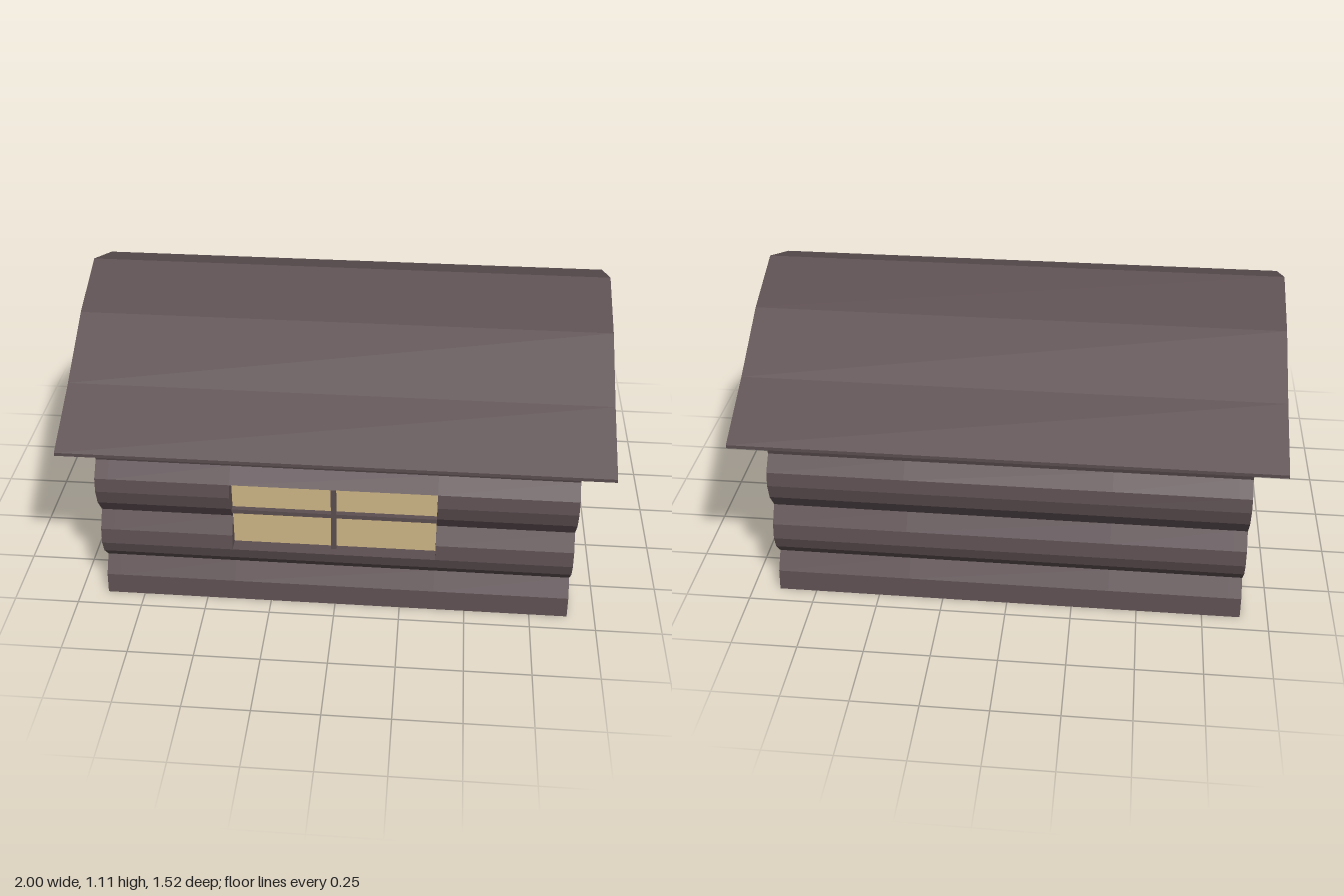
import * as THREE from 'three';

const timber = new THREE.MeshStandardMaterial({ color: 0x5d4f52 });
const cutWood = new THREE.MeshStandardMaterial({ color: 0x866a50 });
const paleGlow = new THREE.MeshStandardMaterial({ color: 0xd4bb89 });
timber.name = 'darkTimber';
cutWood.name = 'cutWood';
paleGlow.name = 'paleGlow';

const WALL_X = 0.895;   // half length of the walls
const DOOR_X = -0.845;  // plane at the back of the door recess
const WIN = { x0: -0.39, x1: 0.38, y0: 0.25, y1: 0.55, z: 0.622 };

// Outline of the stacked logs, bottom to eave, as [z, y]
const LOGS = [
  [0.682, 0], [0.67, 0.08], [0.625, 0.147],
  [0.668, 0.2], [0.682, 0.25], [0.672, 0.31], [0.63, 0.374],
  [0.67, 0.437], [0.682, 0.497], [0.672, 0.55], [0.625, 0.605], [0.655, 0.714],
];
// Half profiles of the roof, eave to ridge
const JOINT = [[0.655, 0.714], [0.506, 0.787], [0.11, 0.98], [0, 1.008]];
const UNDER = [[0.76, 0.714], [0.506, 0.825], [0.25, 0.975], [0, 1.057]];
const TOP = [[0.76, 0.727], [0.506, 0.861], [0.25, 1.016], [0, 1.114]];

const flip = (pts) => pts.map(([z, y]) => [-z, y]).reverse();
const whole = (half) => [...half, ...flip(half).slice(1)];

function mesh(name, geometry, material) {
  const m = new THREE.Mesh(geometry, material);
  m.name = name;
  return m;
}

function box(name, material, x0, x1, y0, y1, z0, z1) {
  const m = mesh(name, new THREE.BoxGeometry(x1 - x0, y1 - y0, z1 - z0), material);
  m.position.set((x0 + x1) / 2, (y0 + y1) / 2, (z0 + z1) / 2);
  return m;
}

// Wall slice: the [z, y] outline extruded along x
function wallSlice(name, outline, x0, x1) {
  const shape = new THREE.Shape(outline.map(([z, y]) => new THREE.Vector2(-z, y)));
  const g = new THREE.ExtrudeGeometry(shape, { depth: x1 - x0, bevelEnabled: false });
  g.rotateY(Math.PI / 2).translate(x0, 0, 0);
  return mesh(name, g, timber);
}

function buildWalls() {
  const group = new THREE.Group();
  group.name = 'walls';
  const gable = JOINT.slice(1);
  const rest = [...gable, ...flip(gable).slice(1), ...flip(LOGS)];
  const full = [...LOGS, ...rest];

  // Front logs cut back for the window recess
  const cut = [
    ...LOGS.filter(([, y]) => y <= WIN.y0),
    [WIN.z, WIN.y0], [WIN.z, WIN.y1],
    ...LOGS.filter(([, y]) => y >= WIN.y1),
  ];
  // Doorway notch in the end wall
  const notch = [[-0.118, 0], [-0.118, 0.503], [0.118, 0.503], [0.118, 0]];

  group.add(
    wallSlice('doorWall', [...full, ...notch], -WALL_X, DOOR_X),
    wallSlice('leftOfWindow', full, DOOR_X, WIN.x0),
    wallSlice('windowWall', [...cut, ...rest], WIN.x0, WIN.x1),
    wallSlice('rightOfWindow', full, WIN.x1, WALL_X),
  );
  return group;
}

// Roof with thin eaves and sloping undersides at both gable ends
function buildRoof() {
  const pos = [];
  const quad = (a, b, c, d, reverse) => {
    const q = reverse ? [d, c, b, a] : [a, b, c, d];
    for (const i of [0, 1, 2, 0, 2, 3]) pos.push(...q[i]);
  };
  const at = (p, x) => [x, p[1], p[0]];

  // Ring of faces joining an inner profile to an outer one
  const band = (inner, xi, outer, xo) => {
    const a = whole(inner), b = whole(outer), n = a.length - 1;
    for (const s of [1, -1]) {
      for (let i = 0; i < n; i++) {
        quad(at(a[i], s * xi), at(a[i + 1], s * xi), at(b[i + 1], s * xo), at(b[i], s * xo), s < 0);
      }
    }
    for (const i of [0, n]) {
      quad(at(a[i], -xi), at(a[i], xi), at(b[i], xo), at(b[i], -xo), i === n);
    }
  };
  band(JOINT, WALL_X, UNDER, 1);
  band(UNDER, 1, TOP, 1);

  const t = whole(TOP);
  for (let i = 0; i < t.length - 1; i++) {
    quad(at(t[i], -1), at(t[i], 1), at(t[i + 1], 1), at(t[i + 1], -1));
  }
  const g = new THREE.BufferGeometry();
  g.setAttribute('position', new THREE.Float32BufferAttribute(pos, 3));
  g.computeVertexNormals();
  return mesh('roof', g, timber);
}

// Sawn log ends: thin discs, cut off at the ground
function buildLogEnds() {
  const group = new THREE.Group();
  group.name = 'logEnds';
  const discs = [ // z, y, radius along z, radius along y
    [0.567, 0.482, 0.096, 0.098], [0.565, 0.253, 0.093, 0.094], [0.567, 0.026, 0.098, 0.096],
    [-0.56, 0.484, 0.102, 0.104], [-0.553, 0.253, 0.104, 0.099], [-0.537, 0.015, 0.117, 0.106],
  ];
  for (const side of [1, -1]) {
    for (const [z, y, rz, ry] of discs) {
      const pts = [];
      for (let i = 0; i < 20; i++) {
        const a = (i / 20) * Math.PI * 2;
        const py = y + ry * Math.sin(a);
        if (py >= 0) pts.push(new THREE.Vector2(-side * z + rz * Math.cos(a), py));
        else if (i === 11 || i === 19) pts.push(new THREE.Vector2(-side * z + rz * Math.cos(a), 0));
      }
      const m = mesh('logEnd', new THREE.ShapeGeometry(new THREE.Shape(pts)), cutWood);
      m.rotation.y = side * Math.PI / 2;
      m.position.x = side * (WALL_X + 0.003);
      group.add(m);
    }
  }
  return group;
}

function buildWindow() {
  const group = new THREE.Group();
  group.name = 'window';
  const barX = [-0.016, 0.003], barY = [0.4, 0.418];
  for (const [x0, x1] of [[WIN.x0, barX[0]], [barX[1], WIN.x1]]) {
    for (const [y0, y1] of [[WIN.y0, barY[0]], [barY[1], WIN.y1]]) {
      group.add(box('pane', paleGlow, x0, x1, y0, y1, WIN.z - 0.002, WIN.z + 0.007));
    }
  }
  group.add(
    box('uprightBar', timber, ...barX, WIN.y0, WIN.y1, WIN.z, 0.65),
    box('crossBar', timber, WIN.x0, WIN.x1, ...barY, WIN.z, 0.649),
  );
  return group;
}

function buildDoor() {
  const group = new THREE.Group();
  group.name = 'door';
  group.add(box('doorPanel', cutWood, DOOR_X - 0.006, DOOR_X + 0.002, 0.001, 0.502, -0.117, 0.117));
  const knob = mesh('doorKnob', new THREE.SphereGeometry(0.028, 12, 8), paleGlow);
  knob.position.set(DOOR_X - 0.012, 0.25, 0.06);
  group.add(knob);
  return group;
}

export function createModel() {
  const model = new THREE.Group();
  model.name = 'logCabin';
  model.add(buildWalls(), buildRoof(), buildLogEnds(), buildWindow(), buildDoor());
  return model;
}
